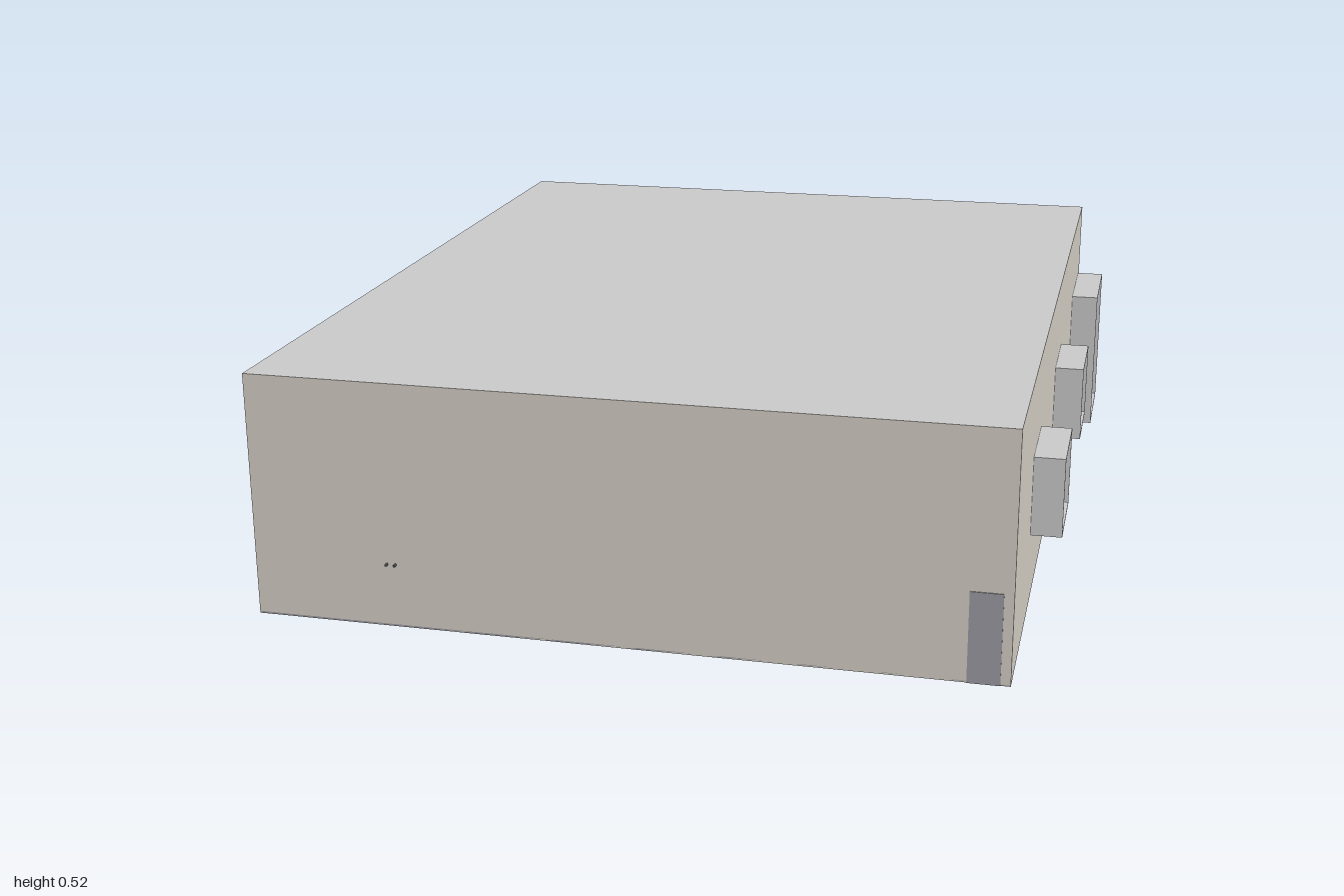
import * as THREE from 'three';

const W = 0.775, ZF = 0.99, ZB = -0.935, H = 0.52, DEPTH = 0.065, T = 0.004;
const mat = (color, opts = {}) => new THREE.MeshStandardMaterial({ color, ...opts });
const grey = mat(0xcccccc);
const wallMat = mat(0xd6d0c6, { side: THREE.DoubleSide });
const floorMat = mat(0x9c9ca4);
const dark = mat(0x606264);
const glass = mat(0xdde6ee);
const blue = mat(0x2f78b0);
const black = mat(0x222428);

function add(parent, name, geometry, material, x = 0, y = 0, z = 0) {
  const m = new THREE.Mesh(geometry, material);
  m.name = name;
  m.position.set(x, y, z);
  parent.add(m);
  return m;
}

// Box given by its lower and upper corners
function block(parent, name, material, [x0, y0, z0], [x1, y1, z1]) {
  return add(parent, name, new THREE.BoxGeometry(x1 - x0, y1 - y0, z1 - z0), material,
    (x0 + x1) / 2, (y0 + y1) / 2, (z0 + z1) / 2);
}

// Thin lining that stands out from the wall around an opening
function lining(parent, name, u0, u1, y0, y1) {
  block(parent, name + 'JambA', grey, [u0, y0, 0], [u0 + T, y1, DEPTH]);
  block(parent, name + 'JambB', grey, [u1 - T, y0, 0], [u1, y1, DEPTH]);
  block(parent, name + 'Head', grey, [u0 + T, y1 - T, 0], [u1 - T, y1, DEPTH]);
  block(parent, name + 'Sill', grey, [u0 + T, y0, 0], [u1 - T, y0 + T, DEPTH]);
}

// Window: lining, sash with a middle bar, and glass
function windowUnit(parent, u0, u1, y0, y1) {
  const g = new THREE.Group();
  g.name = 'window';
  parent.add(g);
  lining(g, 'window', u0, u1, y0, y1);
  const s = 0.01, a = u0 + T, b = u1 - T, c = y0 + T, d = y1 - T, mid = (y0 + y1) / 2;
  for (const u of [a, b - s]) block(g, 'sashStile', dark, [u, c, 0], [u + s, d, 0.012]);
  for (const y of [c, mid - s / 2, d - s]) block(g, 'sashRail', dark, [a + s, y, 0], [b - s, y + s, 0.012]);
  block(g, 'glass', glass, [a + s, c + s, 0.002], [b - s, d - s, 0.006]);
}

// Wall in its own plane, facing local +z, with window holes and an optional doorway
function wall(parent, name, u0, u1, windows, door, position, angle) {
  const g = new THREE.Group();
  g.name = name;
  g.position.set(...position);
  g.rotation.y = angle;
  parent.add(g);
  const s = new THREE.Shape();
  s.moveTo(u0, 0);
  if (door) {
    const [d0, d1, top] = door;
    s.lineTo(d0, 0).lineTo(d0, top).lineTo(d1, top).lineTo(d1, 0);
  }
  s.lineTo(u1, 0).lineTo(u1, H).lineTo(u0, H).closePath();
  for (const [a, b] of windows) {
    const h = new THREE.Path();
    h.moveTo(a, 0.17).lineTo(a, 0.34).lineTo(b, 0.34).lineTo(b, 0.17).closePath();
    s.holes.push(h);
    windowUnit(g, a, b, 0.17, 0.34);
  }
  add(g, name + 'Panel', new THREE.ShapeGeometry(s), wallMat);
  return g;
}

export function createModel() {
  const model = new THREE.Group();
  model.name = 'building';

  // Floor, roof and ceiling grid
  block(model, 'floor', floorMat, [-W, 0, ZB], [W, 0.004, ZF]);
  block(model, 'roof', grey, [-W, H - 0.008, ZB], [W, H, ZF]);
  for (let i = 1; i < 10; i++) {
    const x = -W + (2 * W * i) / 10, z = ZB + ((ZF - ZB) * i) / 10;
    block(model, 'ceilingBar', dark, [x - 0.004, H - 0.016, ZB + 0.01], [x + 0.004, H - 0.008, ZF - 0.01]);
    block(model, 'ceilingBar', dark, [-W + 0.01, H - 0.015, z - 0.004], [W - 0.01, H - 0.008, z + 0.004]);
  }

  // Four walls
  wall(model, 'frontWall', -W, W, [], null, [0, 0, ZF], 0);
  wall(model, 'backWall', -W, W, [[-0.33, -0.13], [-0.675, -0.475]], null, [0, 0, ZB], Math.PI);
  const left = wall(model, 'leftWall', -ZF, -ZB, [[-0.63, -0.43], [0, 0.2]], [0.635, 0.89, 0.345],
    [W, 0, 0], Math.PI / 2);
  lining(left, 'door', 0.635, 0.89, 0, 0.345);
  wall(model, 'rightWall', ZB, ZF, [], [0.62, 0.79, 0.34], [-W, 0, 0], -Math.PI / 2);

  // Side doorstep, front panel and wall studs
  block(model, 'doorstep', floorMat, [-0.84, 0, 0.62], [-W, 0.004, 0.79]);
  block(model, 'frontPanel', floorMat, [0.69, 0, ZF - 0.004], [0.755, 0.19, ZF + 0.002]);
  for (const x of [-0.487, -0.469]) block(model, 'stud', dark, [x - 0.002, 0.134, ZF - 0.004], [x + 0.002, 0.138, 1]);

  // Gas cylinder standing in the back corner
  const tank = new THREE.Group();
  tank.name = 'gasCylinder';
  tank.position.set(-0.6, 0.004, -0.853);
  model.add(tank);
  const profile = [[0, 0], [0.036, 0], [0.038, 0.005], [0.038, 0.17], [0.034, 0.188], [0.023, 0.2], [0.011, 0.205], [0, 0.205]];
  add(tank, 'cylinderBody', new THREE.LatheGeometry(profile.map(p => new THREE.Vector2(...p)), 24), blue);
  add(tank, 'valve', new THREE.CylinderGeometry(0.008, 0.01, 0.02, 12), black, 0, 0.21, 0);
  add(tank, 'valveCap', new THREE.SphereGeometry(0.011, 12, 8), black, 0, 0.222, 0);
  for (const y of [0.14, 0.18]) add(tank, 'spot', new THREE.SphereGeometry(0.007, 10, 8), black, 0.035, y, 0);
  block(tank, 'label', grey, [0.03, 0.05, -0.018], [0.039, 0.08, 0.018]);

  return model;
}
